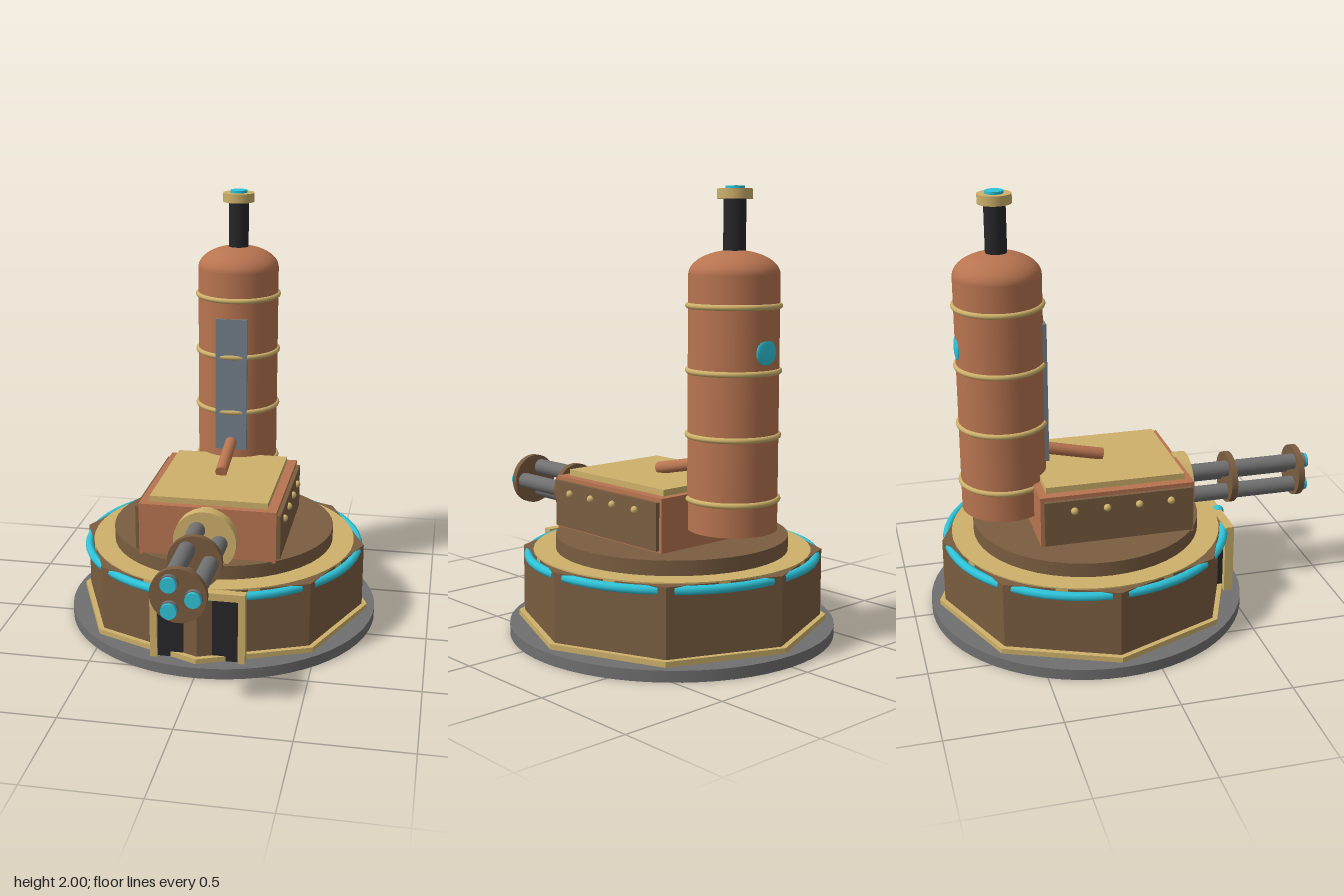
import * as THREE from 'three';

const mat = (color) => new THREE.MeshStandardMaterial({ color });
const flat = (color) => Object.assign(mat(color), { flatShading: true });

const copper = mat(0xb87450);
const brown = mat(0x7a5d40);
const brownFlat = flat(0x7a5d40);
const brass = mat(0xcdb06a);
const brassFlat = flat(0xcdb06a);
const steel = mat(0x707070);
const dark = mat(0x26262a);
const glow = mat(0x2ec4da);
const slate = mat(0x74808c);

const BASE_Z = -0.175;
const TOWER_Z = -0.557;
const GUN_Y = 0.548;

export function createModel() {
  const model = new THREE.Group();

  const add = (name, geometry, material, x = 0, y = 0, z = 0, parent = model) => {
    const mesh = new THREE.Mesh(geometry, material);
    mesh.name = name;
    mesh.position.set(x, y, z);
    parent.add(mesh);
    return mesh;
  };
  const group = (name, z = 0) => {
    const g = new THREE.Group();
    g.name = name;
    g.position.z = z;
    model.add(g);
    return g;
  };
  // Upright disc or prism between two heights
  const disc = (name, r, y0, y1, material, parent, sides = 48) =>
    add(name, new THREE.CylinderGeometry(r, r, y1 - y0, sides), material, 0, (y0 + y1) / 2, 0, parent);
  // Cylinder lying along z
  const rod = (name, r, z0, z1, material, x, y, sides = 24) =>
    add(name, new THREE.CylinderGeometry(r, r, z1 - z0, sides).rotateX(Math.PI / 2), material, x, y, (z0 + z1) / 2);
  // Box given by its corners
  const block = (name, x0, x1, y0, y1, z0, z1, material) =>
    add(name, new THREE.BoxGeometry(x1 - x0, y1 - y0, z1 - z0), material, (x0 + x1) / 2, (y0 + y1) / 2, (z0 + z1) / 2);

  // Octagonal base on a round foot
  const base = group('base', BASE_Z);
  disc('foot', 0.74, 0, 0.05, steel, base, 64);
  disc('lowerTrim', 0.705, 0.05, 0.074, brassFlat, base, 8);
  disc('baseWall', 0.68, 0.05, 0.38, brownFlat, base, 8);
  disc('deck', 0.63, 0.36, 0.386, brass, base);
  disc('turntable', 0.528, 0.38, 0.452, brown, base);

  // Light strip on each wall of the base
  const span = THREE.MathUtils.degToRad(39);
  for (let i = 0; i < 8; i++) {
    const strip = new THREE.TorusGeometry(0.652, 0.02, 8, 6, span);
    strip.rotateX(Math.PI / 2).rotateY(span / 2 + Math.PI / 8 + (i * Math.PI) / 4);
    add('lightStrip', strip, glow, 0, 0.36, 0, base);
  }

  // Doorway
  block('door', -0.187, 0.187, 0.05, 0.352, 0.38, 0.478, dark);
  for (const s of [-1, 1]) {
    const post = block('doorPost', -0.016, 0.016, 0.05, 0.385, 0.452, 0.494, brass);
    post.position.x = s * 0.2;
  }
  block('doorLintel', -0.216, 0.216, 0.35, 0.385, 0.452, 0.494, brass);
  add('doorLamp', new THREE.SphereGeometry(0.028, 20, 14), glow, 0, 0.37, 0.485);

  // Gun housing with riveted side plates
  block('housing', -0.316, 0.316, 0.445, 0.69, -0.45, 0.26, copper);
  block('housingLid', -0.272, 0.272, 0.688, 0.718, -0.415, 0.225, brass);
  for (const s of [-1, 1]) {
    const plate = block('sidePlate', -0.012, 0.012, 0.462, 0.672, -0.435, 0.25, brown);
    plate.position.x = s * 0.322;
    for (const z of [0.145, -0.003, -0.151, -0.3]) {
      add('rivet', new THREE.SphereGeometry(0.017, 14, 10), brass, s * 0.337, 0.622, z);
    }
  }

  // Three-barrelled gun
  rod('gunCollar', 0.145, 0.25, 0.318, brass, 0, GUN_Y, 40);
  for (let i = 0; i < 3; i++) {
    const a = (i * Math.PI * 2) / 3;
    const x = 0.068 * Math.cos(a);
    const y = GUN_Y + 0.068 * Math.sin(a);
    rod('barrel', 0.038, 0.3, 0.9, steel, x, y);
    rod('muzzle', 0.034, 0.895, 0.915, glow, x, y);
  }
  for (const z of [0.512, 0.85]) rod('barrelClamp', 0.122, z, z + 0.03, brown, 0, GUN_Y, 40);

  // Boiler tower with a squashed dome
  const tower = group('tower', TOWER_Z);
  disc('boiler', 0.195, 0.535, 1.63, copper, tower);
  const dome = new THREE.SphereGeometry(0.195, 48, 16, 0, Math.PI * 2, 0, Math.PI / 2).scale(1, 0.53, 1);
  add('dome', dome, copper, 0, 1.63, 0, tower);
  for (const y of [0.672, 0.948, 1.224, 1.5]) {
    add('boilerBand', new THREE.TorusGeometry(0.195, 0.0125, 10, 48).rotateX(Math.PI / 2), brass, 0, y, 0, tower);
  }
  add('frontPanel', new THREE.BoxGeometry(0.152, 0.652, 0.02), slate, 0, 1.086, 0.189, tower);
  add('porthole', new THREE.SphereGeometry(0.058, 24, 14).scale(1, 1, 0.2), glow, 0, 1.31, -0.189, tower);

  // Chimney
  disc('chimney', 0.048, 1.7, 1.95, dark, tower, 32);
  disc('chimneyCap', 0.075, 1.945, 1.988, brass, tower, 32);
  disc('chimneyLight', 0.041, 1.98, 2, glow, tower, 32);

  // Feed pipe from the boiler down to the lid
  const pipePath = new THREE.LineCurve3(new THREE.Vector3(0, 0.735, -0.092), new THREE.Vector3(0, 0.808, -0.42));
  const pipe = new THREE.CylinderGeometry(0.028, 0.028, pipePath.getLength(), 20);
  const pipeMesh = add('feedPipe', pipe, copper);
  pipeMesh.position.copy(pipePath.getPoint(0.5));
  pipeMesh.quaternion.setFromUnitVectors(new THREE.Vector3(0, 1, 0), pipePath.getTangent(0));

  return model;
}
